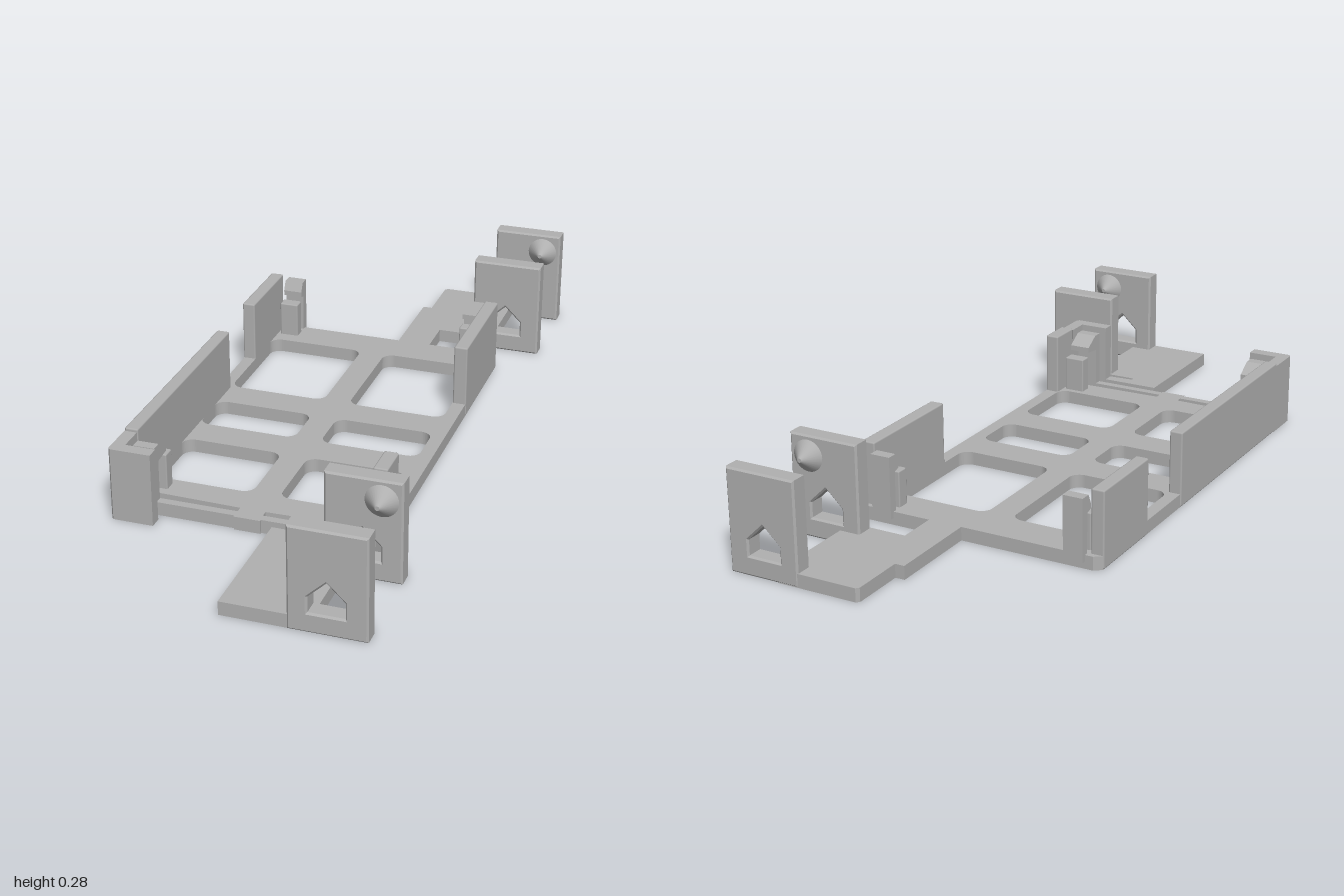
import * as THREE from 'three';
import { RoundedBoxGeometry } from 'three/addons/geometries/RoundedBoxGeometry.js';

const T = 0.038; // floor thickness
const grey = new THREE.MeshStandardMaterial({ color: 0xb0b0b0 });
grey.name = 'grey plastic';

// closed outline from [x, z] corners, laid flat in the floor plane
const outline = (pts, Type = THREE.Shape) => new Type(pts.map(([x, z]) => new THREE.Vector2(x, -z)));

// rounded rectangular opening
function roundedHole(x0, x1, z0, z1, r) {
  const p = new THREE.Path();
  const [a, b] = [-z1, -z0];
  p.moveTo(x0 + r, a).lineTo(x1 - r, a).absarc(x1 - r, a + r, r, -Math.PI / 2, 0);
  p.lineTo(x1, b - r).absarc(x1 - r, b - r, r, 0, Math.PI / 2);
  p.lineTo(x0 + r, b).absarc(x0 + r, b - r, r, Math.PI / 2, Math.PI);
  p.lineTo(x0, a + r).absarc(x0 + r, a + r, r, Math.PI, Math.PI * 1.5);
  return p;
}

export function createModel() {
  const root = new THREE.Group();
  root.name = 'mountingTray';

  const add = (name, geometry, parent = root) => {
    const mesh = new THREE.Mesh(geometry, grey);
    mesh.name = name;
    parent.add(mesh);
    return mesh;
  };
  const slab = (name, shape, height, parent) => {
    const g = new THREE.ExtrudeGeometry(shape, { depth: height, bevelEnabled: false, curveSegments: 6 });
    return add(name, g.rotateX(-Math.PI / 2), parent);
  };
  const block = (name, x0, x1, y0, y1, z0, z1, parent, r = 0.005) => {
    const g = new RoundedBoxGeometry(x1 - x0, y1 - y0, z1 - z0, 1, r);
    g.translate((x0 + x1) / 2, (y0 + y1) / 2, (z0 + z1) / 2);
    return add(name, g, parent);
  };

  // floor frame with six openings
  const floor = outline([[-0.405, 0.55], [-0.405, -0.55], [-0.385, -0.565], [0.29, -0.565],
    [0.31, -0.55], [0.31, 0.55], [-0.015, 0.558], [-0.085, 0.558]]);
  for (const [x0, x1] of [[-0.37, -0.085], [-0.01, 0.272]])
    for (const [z0, z1] of [[-0.455, -0.103], [-0.003, 0.145], [0.243, 0.473]])
      floor.holes.push(roundedHole(x0, x1, z0, z1, 0.032));
  slab('floorFrame', floor, T);

  // flexible strip in front of the floor, held at its middle
  slab('frontStrip', outline([[-0.365, 0.577], [-0.085, 0.577], [-0.085, 0.55], [-0.015, 0.55],
    [-0.015, 0.577], [0.267, 0.577], [0.267, 0.6], [-0.012, 0.6], [-0.012, 0.606],
    [-0.085, 0.606], [-0.085, 0.6], [-0.365, 0.6]]), T);

  // side walls
  block('leftFrontWall', -0.408, -0.37, 0, 0.215, -0.1, 0.55);
  block('leftBackWall', -0.408, -0.37, 0, 0.215, -0.55, -0.3);
  block('rightFrontWall', 0.272, 0.312, 0, 0.215, 0.452, 0.55);
  block('rightBackWall', 0.272, 0.312, 0, 0.215, -0.55, -0.205);

  // L-shaped front corner brackets
  slab('leftCornerBracket', outline([[-0.408, 0.54], [-0.408, 0.65], [-0.402, 0.657], [-0.29, 0.657],
    [-0.29, 0.622], [-0.373, 0.622], [-0.373, 0.54]]), 0.206);
  slab('rightCornerBracket', outline([[0.312, 0.54], [0.312, 0.65], [0.306, 0.657], [0.195, 0.657],
    [0.195, 0.622], [0.277, 0.622], [0.277, 0.54]]), 0.206);

  // snap clips: support pad plus a hooked post with a sloping head
  const clip = (name, x0, x1, side, padZ, postZ, outZ) => {
    const g = new THREE.Group();
    g.name = name;
    root.add(g);
    const z = (a, b) => (side > 0 ? [a, b] : [-b, -a]);
    block('supportPad', x0, x1, 0.03, 0.14, ...z(padZ, padZ + 0.037), g, 0.004);
    const hook = new THREE.Shape([[postZ, 0.02], [outZ, 0.02], [outZ, 0.195], [postZ - 0.006, 0.195],
      [padZ + 0.037, 0.168], [padZ + 0.037, 0.153], [postZ, 0.148]]
      .map(([a, y]) => new THREE.Vector2(-side * a, y)));
    const geo = new THREE.ExtrudeGeometry(hook, { depth: x1 - x0, bevelEnabled: false });
    add('hook', geo.rotateY(Math.PI / 2).translate(x0, 0, 0), g);
  };
  clip('leftFrontClip', -0.362, -0.303, 1, 0.49, 0.577, 0.6);
  clip('rightFrontClip', 0.205, 0.266, 1, 0.49, 0.577, 0.6);
  clip('leftBackClip', -0.362, -0.306, -1, 0.497, 0.553, 0.578);
  clip('rightBackClip', 0.208, 0.266, -1, 0.497, 0.553, 0.578);

  // outrigger floors at the back and front
  slab('backOutrigger', outline([[0, -0.56], [0, -0.835], [0.027, -0.835], [0.027, -0.99], [0.035, -0.998],
    [0.262, -0.998], [0.262, -0.68], [0.098, -0.68], [0.098, -0.56]]), T);
  slab('frontOutrigger', outline([[0.027, 0.625], [0.027, 0.995], [0.262, 0.995], [0.262, 0.672],
    [0.122, 0.672], [0.122, 0.661], [0.205, 0.655], [0.205, 0.625]]), T);

  // upright arm plates with a house-shaped window and a cone stud
  const plate = (name, z0, studSide) => {
    const g = new THREE.Group();
    g.name = name;
    root.add(g);
    const b = 0.005, [x0, x1, top, d] = [0.203, 0.407, 0.284, 0.052];
    const pts = (list, Type) => new Type(list.map(([x, y]) => new THREE.Vector2(x, y)));
    const shape = pts([[x0 + b, b], [x1 - b, b], [x1 - b, top - b], [x0 + b, top - b]], THREE.Shape);
    shape.holes.push(pts([[0.25, 0.05], [0.25, 0.1], [0.303, 0.15], [0.355, 0.1], [0.355, 0.05]], THREE.Path));
    const geo = new THREE.ExtrudeGeometry(shape, {
      depth: d - 2 * b, bevelThickness: b, bevelSize: b, bevelSegments: 1 });
    add('armPlate', geo.translate(0, 0, z0 + b), g);
    const stud = add('coneStud', new THREE.CylinderGeometry(0.006, 0.045, 0.04, 28), g);
    stud.rotation.x = studSide * Math.PI / 2;
    stud.position.set(0.352, 0.228, (studSide > 0 ? z0 + d : z0) + studSide * 0.019);
  };
  plate('backOuterArm', -1, 1);
  plate('backInnerArm', -0.732, -1);
  plate('frontInnerArm', 0.676, 1);
  plate('frontOuterArm', 0.948, -1);

  return root;
}
